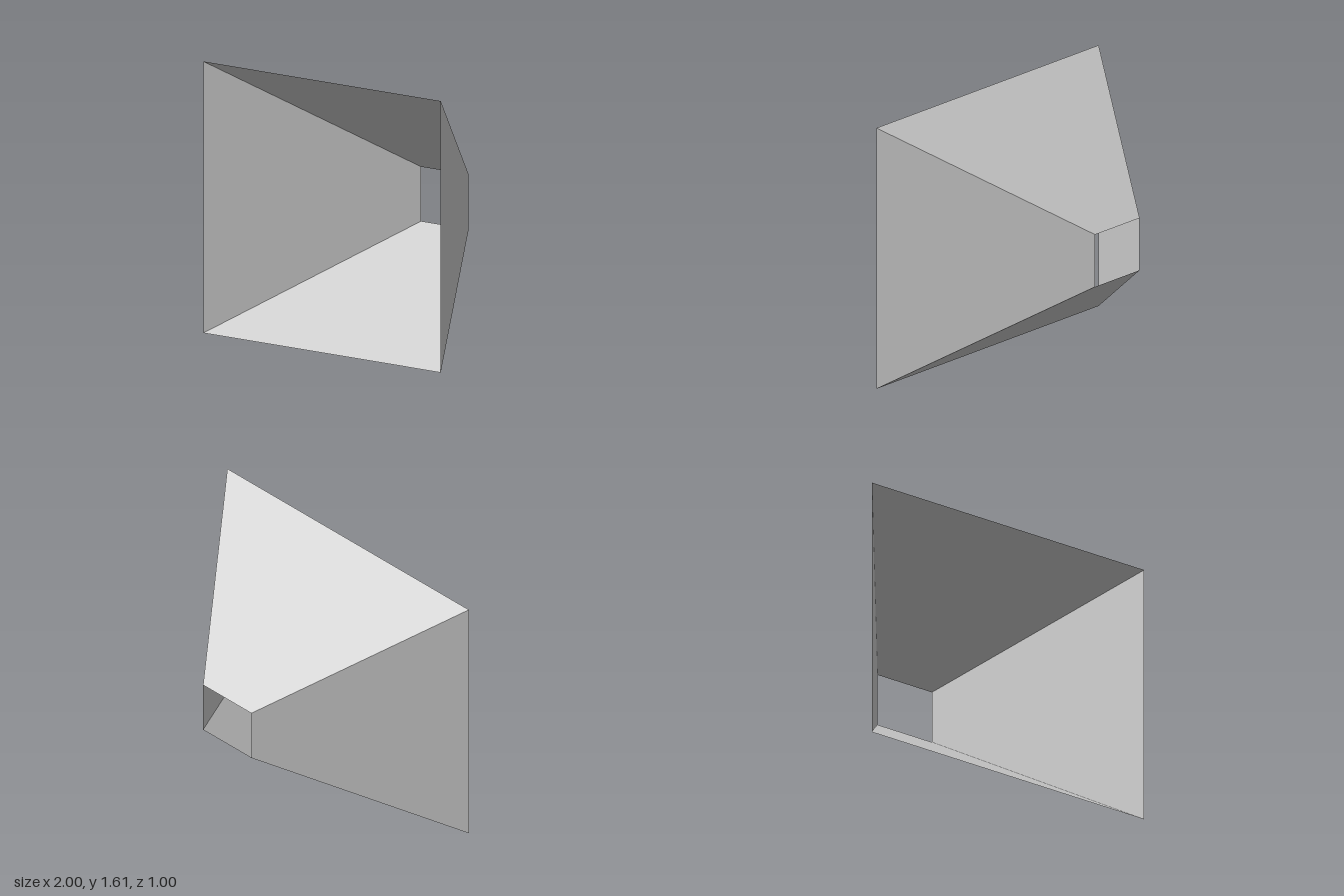
import * as THREE from 'three';

const HEIGHT = 1.61;
const MID = HEIGHT / 2;

// Corners of a rectangular rim, counter-clockwise seen from the front
const rim = (halfW, halfH, z) => [[-1, -1], [1, -1], [1, 1], [-1, 1]]
  .map(([sx, sy]) => [sx * halfW, MID + sy * halfH, z]);

export function createModel() {
  const group = new THREE.Group();
  group.name = 'openTaperedHood';
  const material = new THREE.MeshStandardMaterial({
    color: 0xcccccc, flatShading: true, side: THREE.DoubleSide,
  });

  // Wide front opening and small back opening
  const front = rim(1, MID, 0.5);
  const back = rim(0.2, MID * 0.2, -0.5);

  // One thin sloping panel along each side of the openings
  ['bottomPanel', 'leftPanel', 'topPanel', 'rightPanel'].forEach((name, i) => {
    const j = (i + 1) % 4;
    const corners = [front[i], back[i], back[j], front[j]];
    const geometry = new THREE.BufferGeometry();
    geometry.setAttribute('position', new THREE.Float32BufferAttribute(corners.flat(), 3));
    geometry.setIndex([0, 1, 2, 0, 2, 3]);
    geometry.computeVertexNormals();
    const panel = new THREE.Mesh(geometry, material);
    panel.name = name;
    group.add(panel);
  });

  return group;
}
